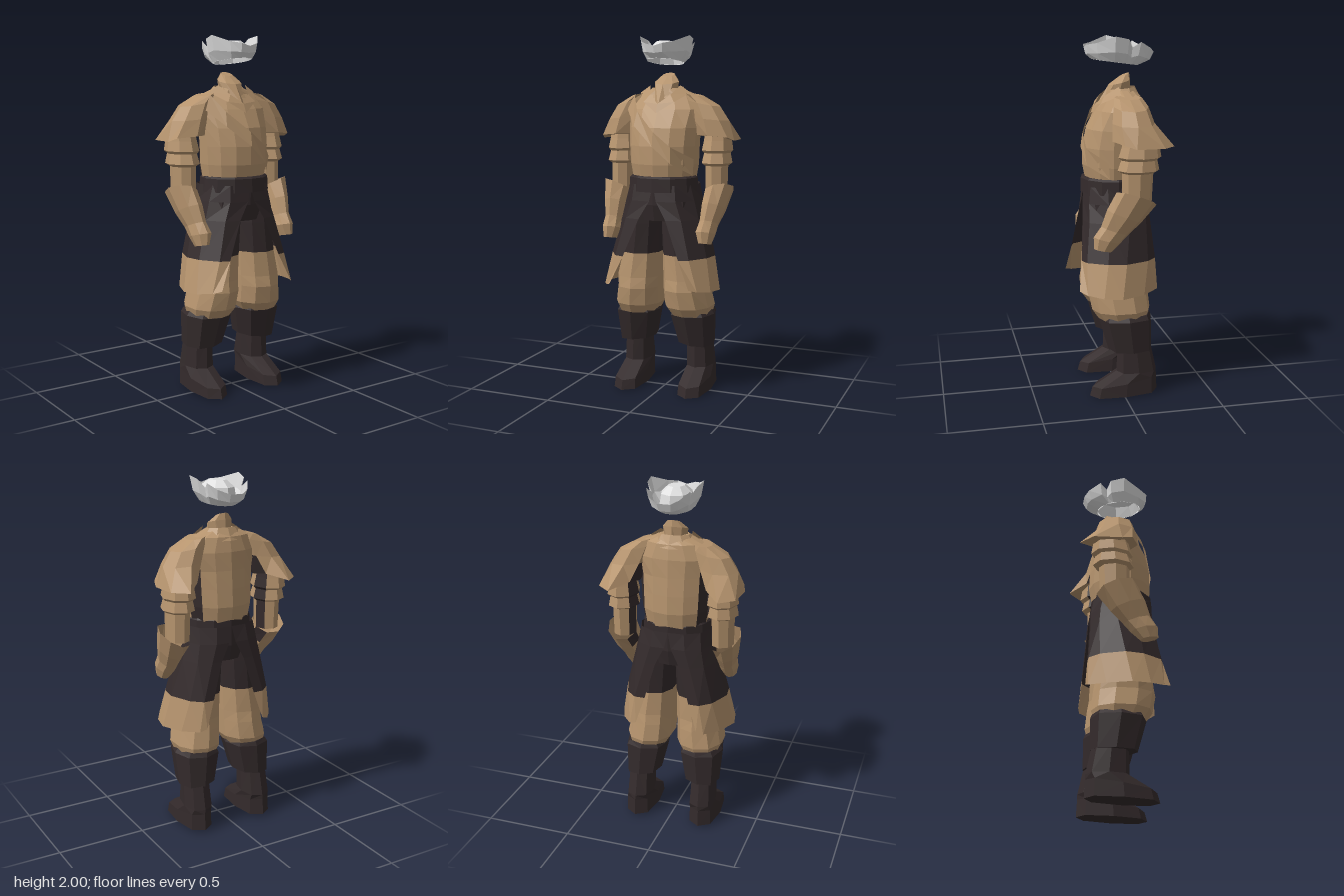
import * as THREE from 'three';

const make = (name, color) => new THREE.MeshStandardMaterial({ name, color, flatShading: true, side: THREE.DoubleSide });

// horizontal ring starting at the front (+z) and turning towards +x
// n sides, p < 1 squares it off, tz / tx tilt it along z / x
function ring(cx, y, cz, rx, rz, { n = 8, p = 1, tz = 0, tx = 0 } = {}) {
  const pts = [];
  const pow = v => Math.sign(v) * Math.abs(v) ** p;
  for (let i = 0; i < n; i++) {
    const a = (i / n) * Math.PI * 2;
    const dx = rx * pow(Math.sin(a)), dz = rz * pow(Math.cos(a));
    pts.push([cx + dx, y + tz * dz + tx * dx, cz + dz]);
  }
  return pts;
}

// skin between rings listed from top to bottom; pick(row, seg) chooses a material index
// mirror swaps sides and keeps the winding
function loft(name, rings, mats, { closed = true, top = false, bottom = false, mirror = false, pick = () => 0 } = {}) {
  mats = [].concat(mats);
  const buckets = mats.map(() => []);
  const n = rings[0].length, segs = closed ? n : n - 1;
  const tri = (bucket, a, b, c) => {
    const pts = mirror ? [a, c, b] : [a, b, c];
    for (const [x, y, z] of pts) bucket.push(mirror ? -x : x, y, z);
  };
  for (let r = 0; r < rings.length - 1; r++) {
    for (let i = 0; i < segs; i++) {
      const j = (i + 1) % n, bucket = buckets[pick(r, i)];
      tri(bucket, rings[r][i], rings[r + 1][i], rings[r + 1][j]);
      tri(bucket, rings[r][i], rings[r + 1][j], rings[r][j]);
    }
  }
  const cap = (pts, up, bucket) => {
    const m = [0, 1, 2].map(k => pts.reduce((s, q) => s + q[k], 0) / n);
    pts.forEach((q, i) => {
      const w = pts[(i + 1) % n];
      tri(bucket, m, up ? q : w, up ? w : q);
    });
  };
  if (top) cap(rings[0], true, buckets[0]);
  if (bottom) cap(rings[rings.length - 1], false, buckets[bottom === 'first' ? 0 : buckets.length - 1]);
  const g = new THREE.BufferGeometry();
  g.setAttribute('position', new THREE.Float32BufferAttribute(buckets.flat(), 3));
  let start = 0;
  buckets.forEach((b, i) => { g.addGroup(start, b.length / 3, i); start += b.length / 3; });
  g.computeVertexNormals();
  const mesh = new THREE.Mesh(g, mats.length > 1 ? mats : mats[0]);
  mesh.name = name;
  return mesh;
}

export function createModel() {
  const model = new THREE.Group();
  model.name = 'figure';
  const tan = make('tan cloth', 0xb6946e);
  const dark = make('dark cloth', 0x332a2b);
  const silver = make('silver', 0xe0e0e0);
  const add = (...args) => model.add(loft(...args));
  const addPair = (name, rings, mats, opts = {}) => {
    add('left' + name, rings, mats, opts);
    add('right' + name, rings, mats, { ...opts, mirror: true });
  };

  // tunic body with dark panels under the arms
  const n = 14, T = { n };
  add('tunic', [
    ring(0, 1.715, -0.03, 0.08, 0.075, T), ring(0, 1.68, -0.04, 0.165, 0.095, T),
    ring(0, 1.6, -0.02, 0.22, 0.13, T), ring(0, 1.5, 0.005, 0.205, 0.16, T),
    ring(0, 1.4, 0.012, 0.2, 0.175, T), ring(0, 1.3, 0.01, 0.195, 0.178, T),
    ring(0, 1.21, 0.01, 0.18, 0.16, T),
  ], [tan, dark], { top: true, pick: (r, i) => (r >= 2 && (i === 4 || i === n - 5) ? 1 : 0) });

  // diagonal wrap edge across the chest
  add('wrapFold', [
    [[-0.17, 1.68, 0.04], [-0.12, 1.59, 0.12], [0, 1.48, 0.185], [0.1, 1.4, 0.182], [0.2, 1.33, 0.08]],
    [[-0.21, 1.6, 0.05], [-0.13, 1.51, 0.145], [0, 1.4, 0.197], [0.1, 1.31, 0.182], [0.19, 1.24, 0.07]],
  ], tan, { closed: false });

  // short lapels meeting in a V below the neck
  addPair('Lapel', [
    [[0, 1.63, 0.118], [0.06, 1.68, 0.075], [0.09, 1.73, 0]],
    [[0, 1.58, 0.14], [0.09, 1.64, 0.1], [0.15, 1.69, 0]],
  ], tan, { closed: false });

  // neck and collar
  add('neck', [
    ring(0, 1.79, -0.05, 0.035, 0.028, { tz: -0.4 }), ring(0, 1.75, -0.022, 0.072, 0.062, { tz: -0.25 }),
    ring(0, 1.62, 0.01, 0.05, 0.1),
  ], tan, { top: true });
  add('collar', [
    ring(0, 1.72, -0.035, 0.088, 0.075, { n: 10, tz: -0.1 }), ring(0, 1.66, -0.035, 0.14, 0.11, { n: 10 }),
  ], tan);

  // belt
  add('belt', [
    ring(0, 1.235, 0.02, 0.185, 0.165, { n: 12 }), ring(0, 1.225, 0.022, 0.195, 0.175, { n: 12 }),
    ring(0, 1.15, 0.022, 0.2, 0.178, { n: 12 }),
  ], dark, { top: true, bottom: true });

  // hips under the skirt
  add('hips', [
    ring(0, 1.17, 0.015, 0.19, 0.17, { n: 12 }), ring(0, 1.08, 0.015, 0.205, 0.17, { n: 12 }),
    ring(0, 0.99, 0.015, 0.2, 0.15, { n: 12 }),
  ], dark, { bottom: true });

  // split skirt, open at front and back, with a tan hem band
  const arc = (y, xz, drop = 0) => xz.map(([x, z], i) => [x, y - drop * Math.sin((i / (xz.length - 1)) * Math.PI), z]);
  addPair('SkirtFlap', [
    arc(1.19, [[0, 0.18], [0.12, 0.165], [0.18, 0.08], [0.2, -0.02], [0.17, -0.1], [0.09, -0.15], [0, -0.155]]),
    arc(1.1, [[0.02, 0.19], [0.13, 0.175], [0.205, 0.08], [0.215, -0.03], [0.18, -0.12], [0.1, -0.165], [0.02, -0.165]]),
    arc(1.0, [[0.08, 0.2], [0.165, 0.18], [0.23, 0.08], [0.24, -0.03], [0.2, -0.13], [0.13, -0.17], [0.07, -0.17]]),
    arc(0.79, [[0.165, 0.225], [0.22, 0.205], [0.285, 0.1], [0.3, 0], [0.25, -0.13], [0.19, -0.185], [0.13, -0.185]]),
    arc(0.635, [[0.235, 0.25], [0.27, 0.21], [0.32, 0.13], [0.34, 0.03], [0.29, -0.1], [0.22, -0.19], [0.18, -0.2]], 0.03),
  ], [dark, tan], { closed: false, pick: r => (r === 3 ? 1 : 0) });

  // baggy trouser legs, dark above and tan below
  const L = { n: 10, p: 0.9 };
  addPair('TrouserLeg', [
    ring(0.1, 1.1, 0.015, 0.1, 0.155, L), ring(0.105, 0.97, 0.015, 0.104, 0.155, L),
    ring(0.122, 0.8, 0.015, 0.114, 0.155, L), ring(0.14, 0.66, 0.015, 0.13, 0.16, L),
    ring(0.14, 0.6, 0.015, 0.127, 0.17, L), ring(0.152, 0.5, 0, 0.135, 0.165, L),
    ring(0.16, 0.45, -0.01, 0.11, 0.14, L),
  ], [dark, tan], { bottom: true, pick: r => (r < 2 ? 0 : 1) });

  // boots: wide cuff, shaft and foot
  addPair('BootCuff', [
    ring(0.163, 0.475, -0.02, 0.11, 0.14, { p: 0.8 }), ring(0.165, 0.45, -0.02, 0.125, 0.15, { p: 0.8 }),
    ring(0.178, 0.275, -0.045, 0.1, 0.125, { p: 0.8, tx: -0.1 }),
  ], dark, { top: true, bottom: true });
  addPair('Boot', [
    ring(0.19, 0.3, -0.065, 0.068, 0.095, { p: 0.8 }), ring(0.192, 0.14, -0.08, 0.075, 0.115, { p: 0.8 }),
    ring(0.195, 0.085, -0.01, 0.08, 0.185, { p: 0.75, tz: -0.15 }),
    ring(0.195, 0.01, -0.005, 0.083, 0.195, { p: 0.75, tz: -0.03 }),
  ], dark, { bottom: true });

  // angular shoulder sleeves, dark on the side facing the ribs
  addPair('ShoulderSleeve', [
    ring(0.16, 1.68, -0.035, 0.05, 0.075, { tx: -0.2 }), ring(0.21, 1.635, -0.04, 0.1, 0.095, { tx: -0.2 }),
    ring(0.25, 1.55, -0.045, 0.11, 0.115, { tx: -0.1 }),
    [[0.275, 1.46, 0.075], [0.375, 1.45, 0.03], [0.395, 1.43, -0.03], [0.385, 1.43, -0.185],
      [0.305, 1.43, -0.255], [0.215, 1.46, -0.16], [0.185, 1.45, -0.08], [0.2, 1.46, 0.03]],
  ], [tan, dark], { top: true, bottom: 'first', pick: (r, i) => (r === 2 && (i === 5 || i === 6) ? 1 : 0) });

  // banded upper arms, dark on the inner back
  addPair('UpperArm', [
    [1.5, 0.07], [1.43, 0.08], [1.375, 0.09], [1.36, 0.076], [1.305, 0.088], [1.29, 0.066], [1.13, 0.063],
  ].map(([y, r], i) => ring(0.285, y, -0.08 + i * 0.004, r, r * 1.3)), [tan, dark],
  { bottom: 'first', pick: (r, i) => (i === 5 ? 1 : 0) });

  // flared forearm guards and hands reaching forward
  addPair('ForearmAndHand', [
    ring(0.305, 1.155, -0.05, 0.08, 0.11, { tz: 0.35, tx: 0.3 }), ring(0.295, 1.06, 0.015, 0.065, 0.095, { tz: 0.4 }),
    ring(0.285, 0.98, 0.065, 0.05, 0.075, { tz: 0.35 }), ring(0.28, 0.93, 0.105, 0.055, 0.075, { tz: 0.25 }),
    ring(0.285, 0.875, 0.13, 0.035, 0.05, { tz: 0.2 }),
  ], [tan, dark], { bottom: 'first', pick: (r, i) => (r === 0 && i === 5 ? 1 : 0) });

  // floating hat: turned-up brim around a domed crown
  const rim = [
    [0, 1.94, 0.175], [0.05, 1.955, 0.17], [0.09, 1.965, 0.12], [0.155, 2, 0.03], [0.148, 1.985, -0.045],
    [0.115, 1.94, -0.07], [0.13, 1.97, -0.115], [0.1, 1.94, -0.17], [0.04, 1.915, -0.208], [-0.035, 1.915, -0.208],
    [-0.075, 1.935, -0.185], [-0.115, 1.97, -0.12], [-0.1, 1.935, -0.08], [-0.13, 1.98, -0.06], [-0.145, 2, 0.02],
    [-0.09, 1.965, 0.12], [-0.05, 1.955, 0.17],
  ];
  const base = rim.map(([x, , z]) => {
    const a = Math.atan2(x / 0.15, z / 0.19);
    return [0.1 * Math.sin(a), 1.86 + 0.018 * Math.cos(a), 0.005 + 0.13 * Math.cos(a)];
  });
  const fold = rim.map(([x, y, z], i) => {
    const [bx, by, bz] = base[i];
    return [bx + (x - bx) * 0.65, by + (y - by) * 0.4, bz + (z - bz) * 0.75];
  });
  add('hatBrim', [rim, fold, base], silver);
  add('hatCrown', [
    ring(0, 1.972, 0, 0.045, 0.06), ring(0, 1.935, 0, 0.085, 0.11),
    ring(0, 1.86, 0.005, 0.1, 0.13, { tz: 0.13 }),
  ], silver, { top: true });

  return model;
}
